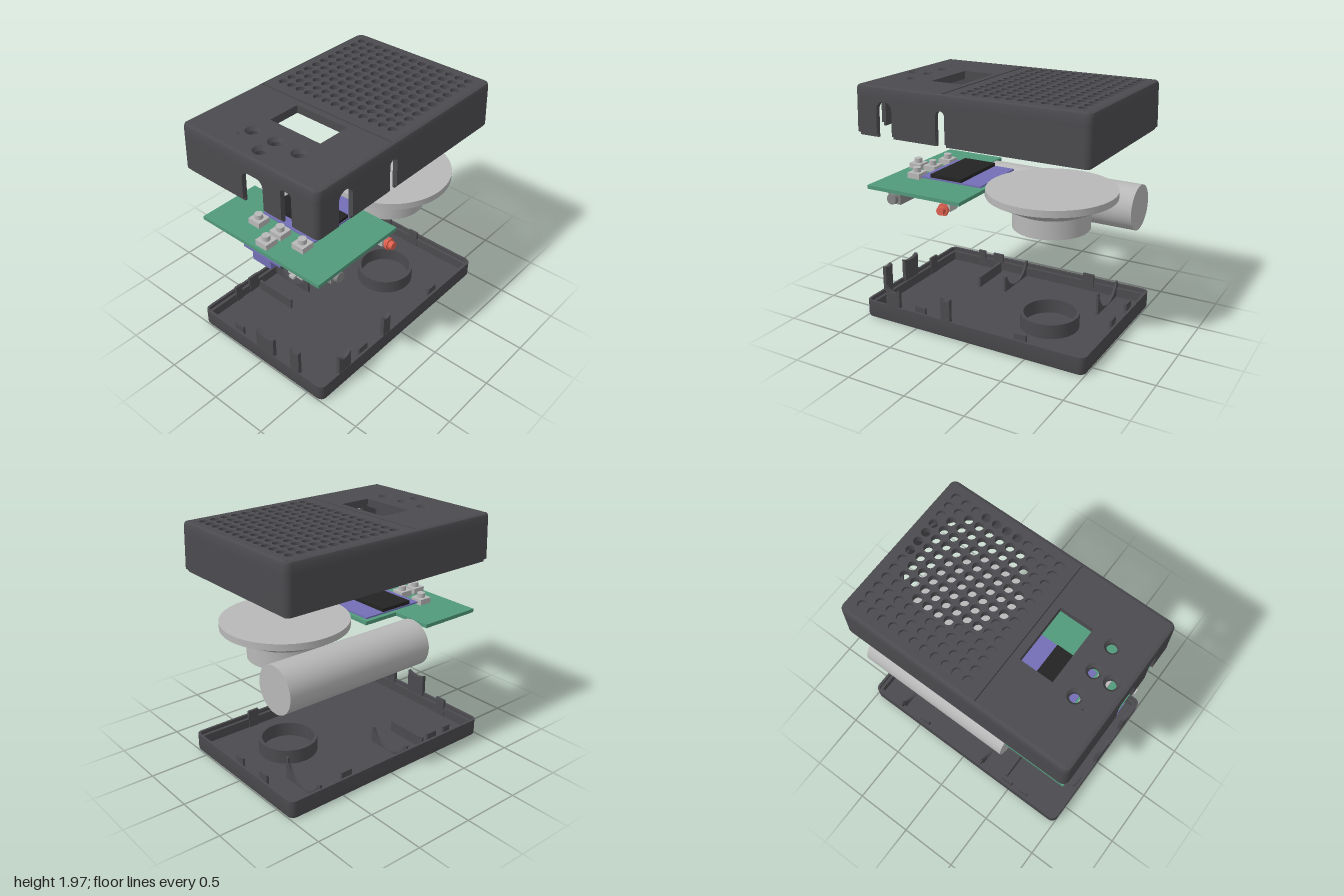
import * as THREE from 'three';
import { toCreasedNormals } from 'three/addons/utils/BufferGeometryUtils.js';

const CX = -0.014, HW = 0.67, HD = 1, R = 0.055; // case outline
const SX = 0.108, SZ = -0.445;                    // speaker axis
const BX = -0.456;                                // battery axis

const mat = (name, color, side = THREE.FrontSide) => {
  const m = new THREE.MeshStandardMaterial({ color, side });
  m.name = name;
  return m;
};

// Points of the case outline, moved inwards, for the corners k0..k1
function outline(inset, k0 = 0, k1 = 3) {
  const r = Math.max(R - inset, 0.002), pts = [];
  for (let k = k0; k <= k1; k++) {
    const sx = k === 0 || k === 3 ? 1 : -1, sz = k < 2 ? 1 : -1;
    for (let i = 0; i <= 6; i++) {
      const a = (k + i / 6) * Math.PI / 2;
      pts.push([CX + sx * (HW - inset - r) + r * Math.cos(a), sz * (HD - inset - r) + r * Math.sin(a)]);
    }
  }
  return pts;
}

// Sweep a profile of [inset, y] along the outline
function sweep(profile, k0 = 0, k1 = 3) {
  const closed = k1 - k0 === 3, n = profile.length, pos = [], idx = [];
  const rings = profile.map(([inset]) => outline(inset, k0, k1));
  const m = rings[0].length;
  for (let i = 0; i < m; i++) profile.forEach(([, y], j) => pos.push(rings[j][i][0], y, rings[j][i][1]));
  for (let i = 0; i < (closed ? m : m - 1); i++) {
    for (let j = 0; j < n - 1; j++) {
      const a = i * n + j, b = ((i + 1) % m) * n + j;
      idx.push(a, a + 1, b, a + 1, b + 1, b);
    }
  }
  const g = new THREE.BufferGeometry();
  g.setAttribute('position', new THREE.Float32BufferAttribute(pos, 3));
  g.setIndex(idx);
  return toCreasedNormals(g, 0.6);
}

const polygon = pts => new THREE.Shape(pts.map(([x, z]) => new THREE.Vector2(x, -z)));
const rectPts = (x0, x1, z0, z1) => [[x0, z0], [x0, z1], [x1, z1], [x1, z0]];
const extrude = (shape, depth) => new THREE.ExtrudeGeometry(shape, { depth, bevelEnabled: false, curveSegments: 10 });
const slab = (shape, y, h) => extrude(shape, h).rotateX(-Math.PI / 2).translate(0, y, 0);
const punch = (shape, x, z, r) => shape.holes.push(new THREE.Path().absarc(x, -z, r, 0, Math.PI * 2, true));

// Wall with arched notches [from, to, top, radius] open at the bottom
function notchedWall(x0, x1, y0, y1, notches, depth) {
  const s = new THREE.Shape().moveTo(x0, y0);
  for (const [a, b, top, r] of notches) {
    s.lineTo(a, y0).lineTo(a, top - r);
    s.absarc(a + r, top - r, r, Math.PI, Math.PI / 2, true);
    s.absarc(b - r, top - r, r, Math.PI / 2, 0, true);
    s.lineTo(b, y0);
  }
  s.lineTo(x1, y0).lineTo(x1, y1).lineTo(x0, y1);
  return extrude(s, depth);
}

// Upright plate with a hollowed top edge
function hollowTab(w, h, sag, depth) {
  const s = new THREE.Shape().moveTo(-w / 2, 0).lineTo(w / 2, 0).lineTo(w / 2, h);
  s.quadraticCurveTo(w / 4, h - sag, 0, h - sag).quadraticCurveTo(-w / 4, h - sag, -w / 2, h);
  return extrude(s, depth);
}

// Upright ring wall
const ringWall = (r0, r1, y0, y1) => toCreasedNormals(new THREE.LatheGeometry(
  [[r0, y0], [r1, y0], [r1, y1], [r0, y1], [r0, y0]].map(p => new THREE.Vector2(...p)), 48), 0.6);

export function createModel() {
  const root = new THREE.Group();
  const casing = mat('charcoal plastic', 0x4b4a4e, THREE.DoubleSide);
  const silver = mat('light grey', 0xb8b8b8);
  const grey = mat('mid grey', 0x858585);
  const green = mat('board green', 0x529a7c);
  const violet = mat('module violet', 0x736fb6);
  const black = mat('screen black', 0x232323);
  const red = mat('connector red', 0xe0614f);

  const group = name => { const g = new THREE.Group(); g.name = name; root.add(g); return g; };
  const add = (parent, name, geo, material) => {
    const m = new THREE.Mesh(geo, material);
    m.name = name;
    parent.add(m);
    return m;
  };
  const box = (parent, name, material, x0, x1, y0, y1, z0, z1) => add(parent, name,
    new THREE.BoxGeometry(x1 - x0, y1 - y0, z1 - z0).translate((x0 + x1) / 2, (y0 + y1) / 2, (z0 + z1) / 2), material);
  const barrelX = (parent, name, material, r, x0, x1, y, z, sides = 24) => add(parent, name,
    new THREE.CylinderGeometry(r, r, x1 - x0, sides).rotateZ(-Math.PI / 2).translate((x0 + x1) / 2, y, z), material);

  // ---- Lid: rounded rim, walls with notches, lip
  const lid = group('lid');
  const Y = 1.87;
  add(lid, 'lidRim', sweep([[0, Y], [0, 1.943], [0.008, 1.962], [0.03, 1.97], [0.03, 1.94], [0.04, 1.9], [0.04, Y]]), casing);
  const wallProfile = [[0.04, 1.575], [0.02, 1.575], [0.02, 1.6], [0, 1.6], [0, Y], [0.04, Y], [0.04, 1.575]];
  const lidProfile = wallProfile.slice(1).concat([[0.02, 1.575]]);
  add(lid, 'lidBackAndSide', sweep(lidProfile, 1, 3), casing);
  add(lid, 'lidCorner', sweep(lidProfile, 0, 0), casing);
  const frontNotches = [[-0.055, 0.15, 1.835, 0.06], [0.32, 0.42, 1.855, 0.03]];
  const sideNotches = [[-0.79, -0.648, 1.86, 0.07], [-0.25, -0.17, 1.845, 0.039]];
  for (const [y0, inset] of [[1.6, 0.02], [1.575, 0.04]]) {
    add(lid, 'lidFront', notchedWall(CX - HW + R, CX + HW - R, y0, Y, frontNotches, 0.02)
      .translate(0, 0, HD - inset), casing);
    add(lid, 'lidSide', notchedWall(-HD + R, HD - R, y0, Y, sideNotches, 0.02)
      .rotateY(Math.PI / 2).translate(CX + HW - inset, 0, 0), casing);
  }

  // Top face in two layers: blind holes stop at the lower one
  const x0 = CX - HW + 0.03, x1 = CX + HW - 0.03;
  const grille = polygon(rectPts(x0, x1, -0.97, 0.195));
  const panel = polygon(rectPts(x0, x1, 0.212, 0.97));
  const under = polygon(outline(0.03));
  const open = [[6, 9], [4, 10], [4, 11], [3, 12], [3, 12], [3, 12], [3, 12], [4, 11], [4, 10], [6, 8], [1, 0]];
  open.forEach(([from, to], row) => {
    for (let col = 0; col < 13; col++) {
      const x = -0.563 + 0.0908 * col, z = -0.878 + 0.0947 * row;
      punch(grille, x, z, 0.036);
      if (col >= from && col <= to) punch(under, x, z, 0.036);
    }
  });
  const buttons = [[-0.214, 0.727], [0.013, 0.727], [0.24, 0.727], [0.013, 0.873]];
  for (const [x, z] of buttons) {
    punch(panel, x, z, 0.061);
    punch(under, x, z, 0.04);
    add(lid, 'buttonDish', new THREE.CylinderGeometry(0.061, 0.04, 0.03, 24, 1, true).translate(x, 1.955, z), casing);
  }
  for (const s of [panel, under]) {
    s.holes.push(new THREE.Path(rectPts(-0.225, 0.267, 0.265, 0.545).reverse().map(([x, z]) => new THREE.Vector2(x, -z))));
    punch(s, -0.262, 0.823, 0.009);
  }
  add(lid, 'grille', slab(grille, 1.94, 0.03), casing);
  add(lid, 'controlPanel', slab(panel, 1.94, 0.03), casing);
  add(lid, 'innerPanel', slab(under, 1.905, 0.035), casing);
  add(lid, 'speakerSeat', ringWall(0.475, 0.505, 1.84, 1.91).translate(SX, 0, SZ), casing);
  box(lid, 'backCatch', casing, 0.01, 0.125, 1.61, 1.645, -0.965, -0.95);
  box(lid, 'sideCatch', casing, -0.65, -0.635, 1.61, 1.645, 0.65, 0.72);
  // Walls lean slightly inwards towards the top
  lid.children.forEach(({ geometry }) => {
    const p = geometry.attributes.position;
    for (let i = 0; i < p.count; i++) {
      const t = Math.max(0, p.getY(i) - 1.6) / 0.37;
      p.setX(i, CX + (p.getX(i) - CX) * (1 - 0.012 * t));
      p.setZ(i, p.getZ(i) * (1 - 0.008 * t));
    }
  });

  // ---- Base tray
  const base = group('base');
  add(base, 'trayWall', sweep([[0.018, 0], [0.005, 0.006], [0, 0.02], [0, 0.148], [0.02, 0.148], [0.02, 0.115], [0.045, 0.115], [0.045, 0.03]]), casing);
  add(base, 'trayFloor', slab(polygon(outline(0.018)), 0, 0.035), casing);
  add(base, 'magnetRing', ringWall(0.215, 0.243, 0.03, 0.156).translate(SX, 0, SZ), casing);
  // Tabs that fill the notches of the lid
  for (const [x, w, h, sag] of [[0.047, 0.19, 0.318, 0.025], [0.371, 0.09, 0.36, 0.015]])
    add(base, 'frontTab', hollowTab(w, h - 0.03, sag, 0.032).translate(x, 0.03, 0.966), casing);
  for (const [z, w, h, sag] of [[0.722, 0.134, 0.315, 0.045], [0.21, 0.085, 0.335, 0.018]])
    add(base, 'sideTab', hollowTab(w, h - 0.03, sag, 0.032).rotateY(Math.PI / 2).translate(0.622, 0.03, z), casing);
  // Battery cradles and end stop
  for (const [z, h] of [[0.18, 0.15], [-0.71, 0.15]]) {
    const s = new THREE.Shape().moveTo(-0.21, 0).lineTo(0.21, 0).lineTo(0.21, h);
    s.absarc(0, 0.21, 0.193, -0.32, Math.PI + 0.32, true);
    s.lineTo(-0.21, h);
    add(base, 'batteryCradle', extrude(s, 0.02).translate(BX, 0.025, z - 0.01), casing);
  }
  box(base, 'cradlePost', casing, -0.265, -0.24, 0.03, 0.225, -0.72, -0.7);
  box(base, 'batteryStop', casing, -0.6, -0.22, 0.03, 0.13, 0.415, 0.435);
  // Snap clips round the tray
  for (const z of [0.95, -0.97]) box(base, 'endClip', casing, -0.333, -0.235, 0.03, 0.195, z, z + 0.02);
  box(base, 'backPost', casing, -0.01, 0.08, 0.03, 0.19, -0.97, -0.95);
  for (const x of [-0.655, 0.605])
    for (const z of [0.47, -0.45]) box(base, 'sideClip', casing, x, x + 0.022, 0.03, 0.19, z - 0.05, z + 0.05);
  box(base, 'cornerClip', casing, -0.655, -0.633, 0.03, 0.19, 0.61, 0.68);

  // ---- Speaker
  const speaker = group('speaker');
  const sp = [[0, 0.9], [0.308, 0.9], [0.308, 1.05], [0.515, 1.155], [0.515, 1.21], [0, 1.21]];
  add(speaker, 'speakerBody', toCreasedNormals(new THREE.LatheGeometry(
    sp.map(p => new THREE.Vector2(...p)), 64), 0.4).translate(SX, 0, SZ), silver);

  // ---- Battery
  add(root, 'battery', new THREE.CylinderGeometry(0.189, 0.189, 1.352, 48).rotateX(Math.PI / 2)
    .translate(BX, 0.964, -0.279), silver);

  // ---- Circuit board, notched round the battery
  const board = group('circuitBoard');
  add(board, 'mainBoard', slab(polygon([[-0.595, 0.955], [0.608, 0.955], [0.608, 0.085], [-0.25, 0.085],
    [-0.25, 0.41], [-0.595, 0.41]]), 1.12, 0.03), green);
  for (const [x, z] of buttons) {
    box(board, 'buttonBase', silver, x - 0.057, x + 0.057, 1.15, 1.198, z - 0.057, z + 0.057);
    add(board, 'buttonCap', new THREE.CylinderGeometry(0.033, 0.033, 0.04, 24).translate(x, 1.217, z), silver);
  }
  box(board, 'displayBoard', violet, -0.25, 0.29, 1.172, 1.185, 0.09, 0.65);
  box(board, 'screen', black, -0.245, 0.285, 1.185, 1.213, 0.27, 0.565);
  box(board, 'chargerBoard', violet, -0.14, 0.235, 1.103, 1.12, 0.485, 0.96);
  box(board, 'chargerSocket', violet, -0.045, 0.142, 1.035, 1.105, 0.815, 0.962);
  // Slide switch at the front edge
  box(board, 'switchBody', silver, 0.3, 0.44, 1.09, 1.12, 0.86, 0.945);
  box(board, 'switchLever', silver, 0.345, 0.39, 1.095, 1.115, 0.94, 0.982);
  // Audio socket
  box(board, 'audioSocket', grey, 0.33, 0.567, 1.02, 1.12, 0.663, 0.78);
  barrelX(board, 'audioBarrel', grey, 0.043, 0.56, 0.607, 1.068, 0.722);
  // Aerial connector
  box(board, 'connectorBase', silver, 0.5, 0.605, 1.06, 1.12, 0.17, 0.25);
  barrelX(board, 'connectorThread', red, 0.025, 0.6, 0.64, 1.083, 0.21);
  barrelX(board, 'connectorNut', red, 0.051, 0.625, 0.648, 1.083, 0.21, 6);
  barrelX(board, 'connectorTip', red, 0.032, 0.645, 0.684, 1.083, 0.21);
  return root;
}
